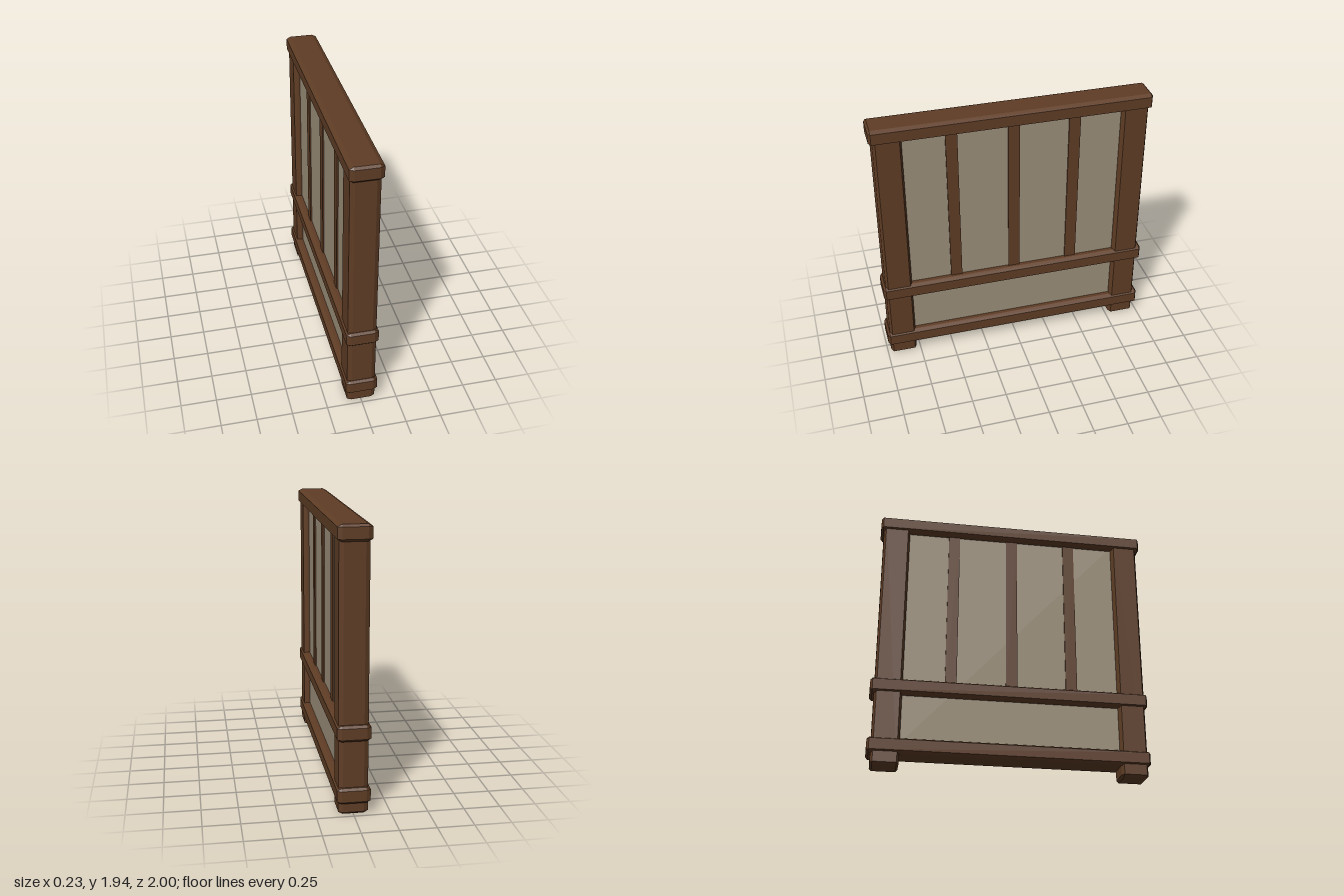
import * as THREE from 'three';
import { ConvexGeometry } from 'three/addons/geometries/ConvexGeometry.js';

const wood = new THREE.MeshStandardMaterial({ color: 0x5f3d25, flatShading: true });
const plaster = new THREE.MeshStandardMaterial({ color: 0x9c8f7a, flatShading: true });

// Box with every edge and corner cut off, by a different amount along each axis
function chamferedBox(w, h, d, cx = 0.03, cy = 0.016, cz = 0.016) {
  const points = [];
  for (const sx of [-1, 1]) for (const sy of [-1, 1]) for (const sz of [-1, 1]) {
    const x = w / 2, y = h / 2, z = d / 2;
    points.push(
      new THREE.Vector3(sx * x, sy * (y - cy), sz * (z - cz)),
      new THREE.Vector3(sx * (x - cx), sy * y, sz * (z - cz)),
      new THREE.Vector3(sx * (x - cx), sy * (y - cy), sz * z)
    );
  }
  return new ConvexGeometry(points);
}

export function createModel() {
  const model = new THREE.Group();
  model.name = 'timberWall';

  const add = (name, geometry, material, y, z) => {
    const mesh = new THREE.Mesh(geometry, material);
    mesh.name = name;
    mesh.position.set(0, y, z);
    model.add(mesh);
  };

  // Infill panel, set back from the frame
  add('panel', new THREE.BoxGeometry(0.11, 1.74, 1.6), plaster, 1.01, 0);

  // Corner posts
  const post = chamferedBox(0.2, 1.9, 0.195);
  add('frontPost', post, wood, 0.95, 0.876);
  add('backPost', post, wood, 0.95, -0.871);

  // Horizontal rails wrapping the posts
  const rail = chamferedBox(0.226, 0.11, 1.99);
  add('bottomRail', rail, wood, 0.138, -0.003);
  add('middleRail', rail, wood, 0.574, -0.003);
  add('topRail', rail, wood, 1.884, 0.005);

  // Slim studs between the middle and top rails
  const stud = new THREE.BoxGeometry(0.13, 1.28, 0.083);
  for (const z of [0.44, 0.002, -0.435]) add('stud', stud, wood, 1.23, z);

  return model;
}
